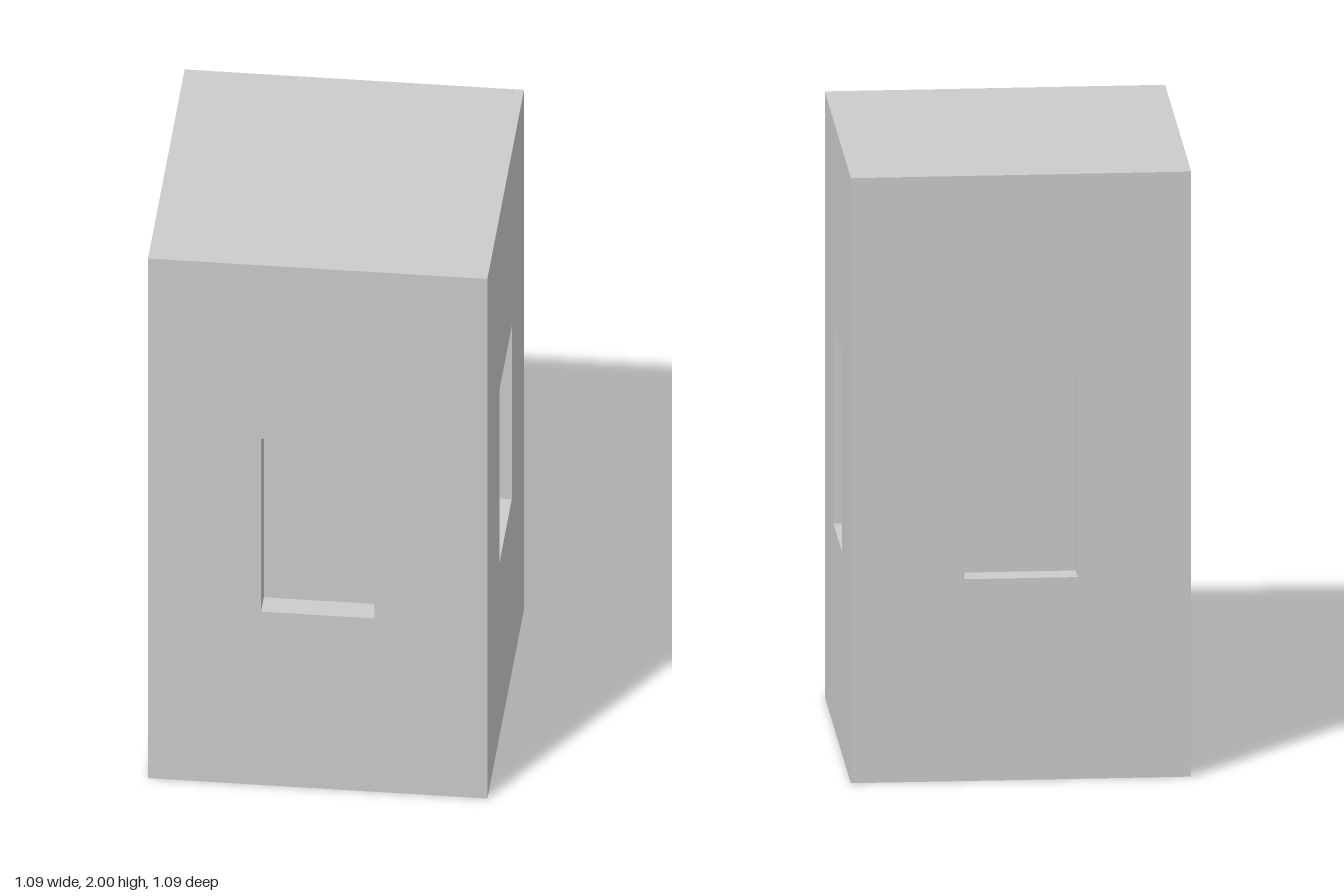
import * as THREE from 'three';

const H = 2, R = 0.5455;            // block height and half width
const W = 0.182, Y0 = 0.667, Y1 = 1.333; // window half width, sill and head heights

const material = new THREE.MeshStandardMaterial({ color: 0xcccccc });

// A named flat panel, facing +z until rotated
function panel(name, w, h, position, rotX = 0, rotY = 0) {
  const mesh = new THREE.Mesh(new THREE.PlaneGeometry(w, h), material);
  mesh.name = name;
  mesh.position.set(...position);
  mesh.rotation.set(rotX, rotY, 0);
  return mesh;
}

// One side of the block: a wall with an opening and the recess behind it
function createSide(name, depth) {
  const side = new THREE.Group();
  side.name = name;

  const outline = new THREE.Shape([
    new THREE.Vector2(-R, 0), new THREE.Vector2(R, 0),
    new THREE.Vector2(R, H), new THREE.Vector2(-R, H),
  ]);
  outline.holes.push(new THREE.Path([
    new THREE.Vector2(-W, Y0), new THREE.Vector2(-W, Y1),
    new THREE.Vector2(W, Y1), new THREE.Vector2(W, Y0),
  ]));
  const wall = new THREE.Mesh(new THREE.ShapeGeometry(outline), material);
  wall.name = 'wall';
  wall.position.z = R;

  const h = Y1 - Y0, yMid = (Y0 + Y1) / 2, zMid = R - depth / 2;
  side.add(
    wall,
    panel('windowPane', 2 * W, h, [0, yMid, R - depth]),
    panel('windowSill', 2 * W, depth, [0, Y0, zMid], -Math.PI / 2),
    panel('windowHead', 2 * W, depth, [0, Y1, zMid], Math.PI / 2),
    panel('windowJambRight', depth, h, [-W, yMid, zMid], 0, Math.PI / 2),
    panel('windowJambLeft', depth, h, [W, yMid, zMid], 0, -Math.PI / 2),
  );
  return side;
}

export function createModel() {
  const model = new THREE.Group();
  model.name = 'towerBlock';

  // Four sides; the front and back recesses are slightly deeper
  ['frontSide', 'leftSide', 'backSide', 'rightSide'].forEach((name, i) => {
    const side = createSide(name, i % 2 ? 0.064 : 0.083);
    side.rotation.y = i * Math.PI / 2;
    model.add(side);
  });

  // Flat roof and base
  model.add(
    panel('roof', 2 * R, 2 * R, [0, H, 0], -Math.PI / 2),
    panel('base', 2 * R, 2 * R, [0, 0, 0], Math.PI / 2),
  );
  return model;
}
